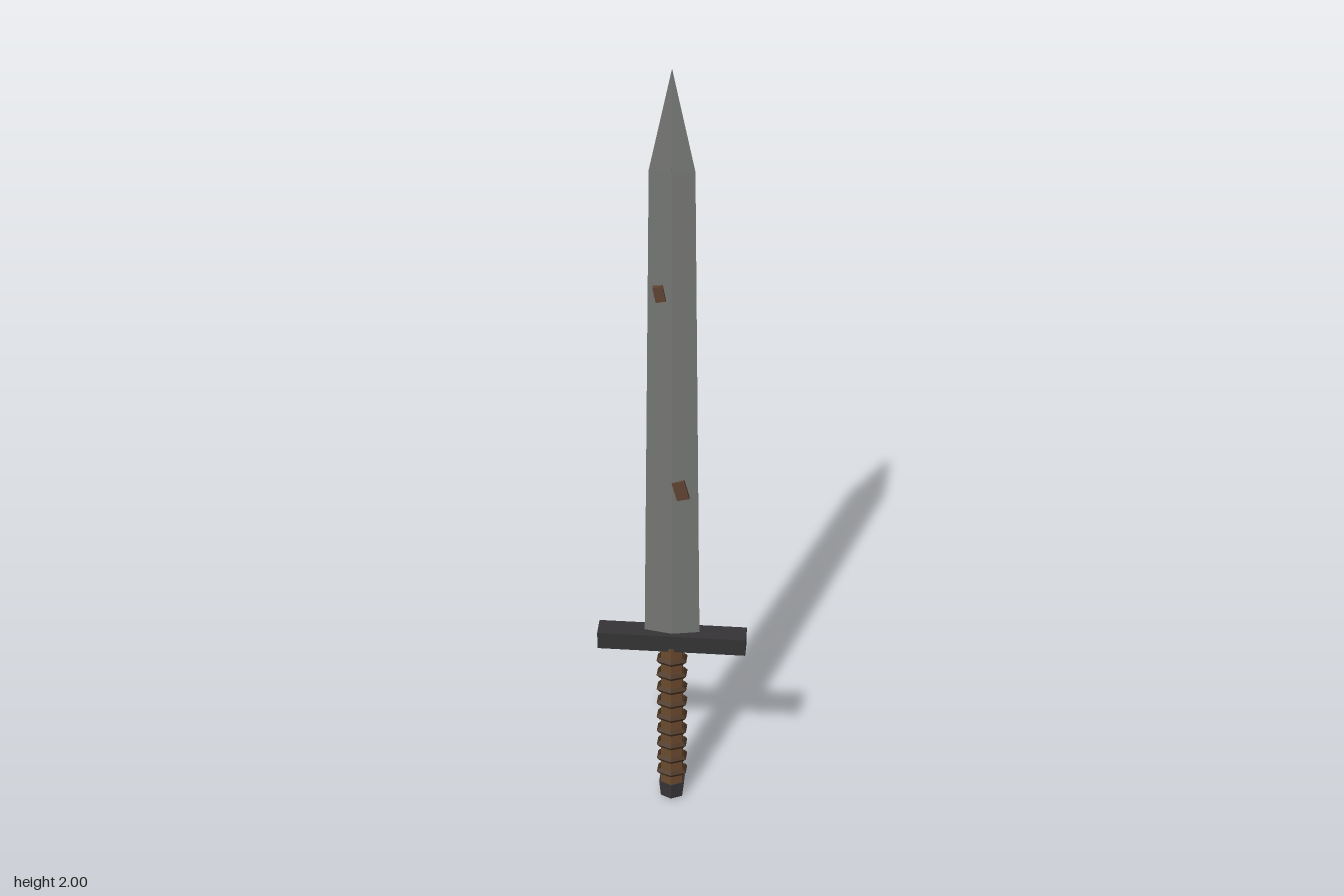
import * as THREE from 'three';

const material = (color) => new THREE.MeshStandardMaterial({ color, flatShading: true });

function add(parent, name, geometry, mat, x = 0, y = 0, z = 0) {
  const mesh = new THREE.Mesh(geometry, mat);
  mesh.name = name;
  mesh.position.set(x, y, z);
  parent.add(mesh);
  return mesh;
}

// Diamond sections [y, half width, half depth] joined into a closed blade
function bladeGeometry(sections) {
  const positions = [];
  const index = [];
  for (const [y, w, d] of sections) {
    positions.push(0, y, d, w, y, 0, 0, y, -d, -w, y, 0);
  }
  for (let s = 0; s < sections.length - 1; s++) {
    for (let i = 0; i < 4; i++) {
      const a = s * 4 + i;
      const b = s * 4 + (i + 1) % 4;
      index.push(a, b, b + 4, a, b + 4, a + 4);
    }
  }
  index.push(0, 2, 1, 0, 3, 2);
  const geometry = new THREE.BufferGeometry();
  geometry.setAttribute('position', new THREE.Float32BufferAttribute(positions, 3));
  geometry.setIndex(index);
  geometry.computeVertexNormals();
  return geometry;
}

export function createModel() {
  const sword = new THREE.Group();
  sword.name = 'sword';

  const steel = material(0x747673);
  const iron = material(0x353335);
  const leather = material(0x6b4a2e);
  const cord = material(0x4a3422);
  const rust = material(0x5e4232);

  // Blade with a tapering point
  add(sword, 'blade', bladeGeometry([
    [0.49, 0.067, 0.013],
    [1.76, 0.051, 0.008],
    [2.0, 0.0005, 0.0005],
  ]), steel);

  // Rust patches passing through the blade
  const patches = [
    [-0.028, 1.457, 0.023, 0.038, 0.2],
    [0.021, 0.932, 0.03, 0.05, 0.25],
  ];
  for (const [x, y, w, h, turn] of patches) {
    add(sword, 'rustPatch', new THREE.BoxGeometry(w, h, 0.028), rust, x, y).rotation.z = turn;
  }

  // Crossguard
  add(sword, 'crossguard', new THREE.BoxGeometry(0.36, 0.046, 0.053), iron, 0, 0.492, -0.0015);

  // Six-sided grip
  add(sword, 'grip', new THREE.CylinderGeometry(0.029, 0.031, 0.43, 6), leather, 0, 0.262);

  // Slanted cord wraps
  const wrapGeometry = new THREE.TorusGeometry(0.034, 0.008, 4, 6);
  wrapGeometry.rotateZ(Math.PI / 6).rotateX(Math.PI / 2);
  const wraps = new THREE.Group();
  wraps.name = 'gripWraps';
  for (let i = 0; i < 9; i++) {
    const wrap = add(wraps, 'wrap', wrapGeometry, cord, 0, 0.083 + i * 0.0435);
    wrap.rotation.x = -0.22;
  }
  sword.add(wraps);

  // Slightly tilted pommel cap
  const pommel = add(sword, 'pommel', new THREE.CylinderGeometry(0.036, 0.031, 0.042, 6), iron, 0, 0.029);
  pommel.rotation.x = -0.12;

  return sword;
}
